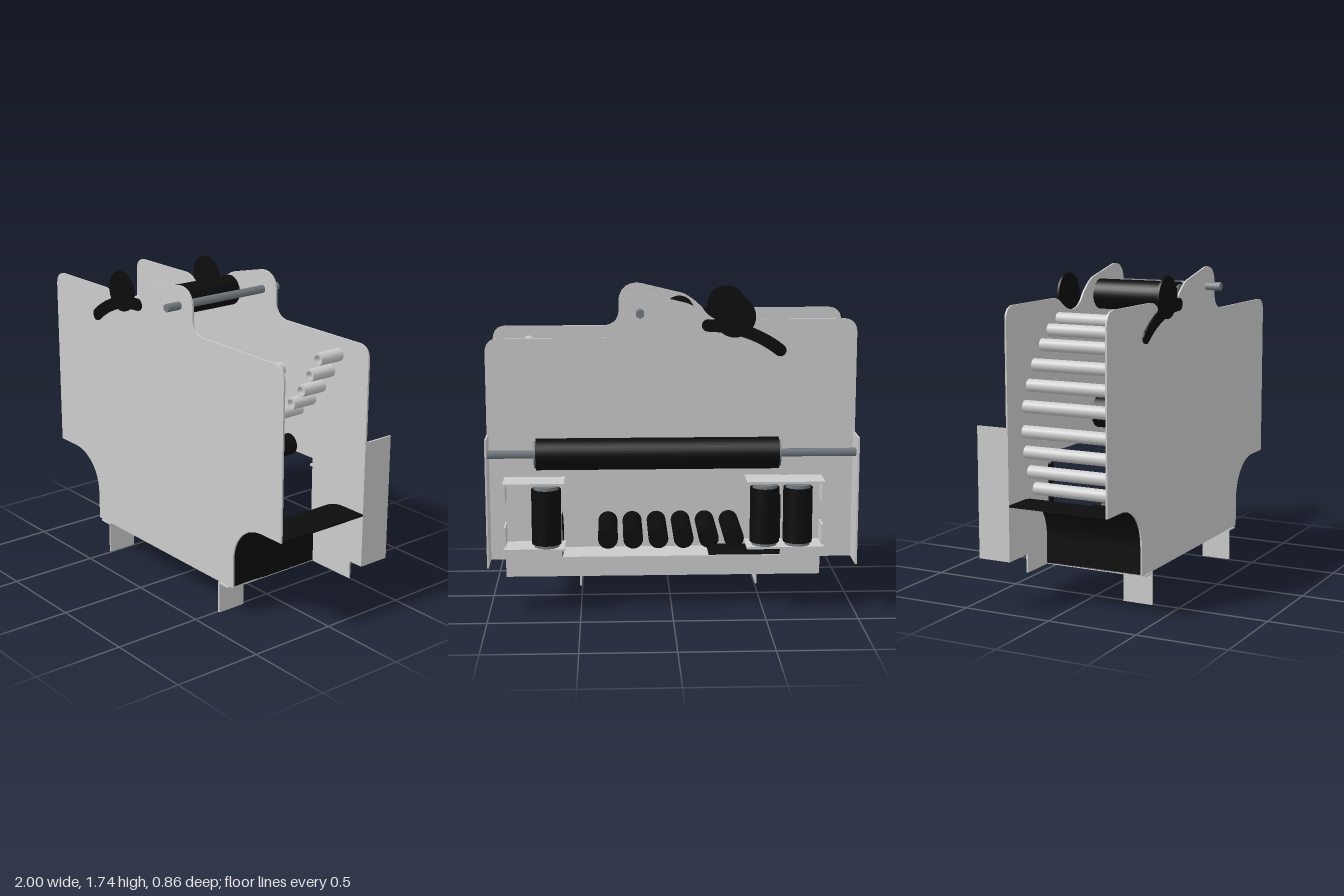
import * as THREE from 'three';

const GREY = 0xcccccc, BLACK = 0x0c0c0c, STEEL = 0x727a80;
const material = (color) => new THREE.MeshStandardMaterial({ color, side: THREE.DoubleSide });
const mats = { [GREY]: material(GREY), [BLACK]: material(BLACK), [STEEL]: material(STEEL) };

export function createModel() {
  const model = new THREE.Group();

  const add = (name, geometry, color = GREY, x = 0, y = 0, z = 0) => {
    const mesh = new THREE.Mesh(geometry, mats[color]);
    mesh.name = name;
    mesh.position.set(x, y, z);
    model.add(mesh);
    return mesh;
  };

  // Box given by its minimum and maximum corners
  const box = (name, a, b, color) => add(name,
    new THREE.BoxGeometry(b[0] - a[0], b[1] - a[1], b[2] - a[2]), color,
    (a[0] + b[0]) / 2, (a[1] + b[1]) / 2, (a[2] + b[2]) / 2);

  // Flat sheet extruded from z0 to z1
  const sheet = (name, shape, z0, z1, color) => add(name,
    new THREE.ExtrudeGeometry(shape, { depth: z1 - z0, bevelEnabled: false, curveSegments: 12 }), color, 0, 0, z0);

  // Solid bar along z or x
  const bar = (name, x, y, z, r, length, axis, color, sides = 24) => {
    const geometry = new THREE.CylinderGeometry(r, r, length, sides);
    if (axis === 'z') geometry.rotateX(Math.PI / 2);
    if (axis === 'x') geometry.rotateZ(Math.PI / 2);
    return add(name, geometry, color, x, y, z);
  };

  // Hollow tube along z
  const tube = (name, x, y, z0, z1, r = 0.034) => {
    const h = (z1 - z0) / 2, q = r * 0.65;
    const ring = [[q, -h], [r, -h], [r, -h], [r, h], [r, h], [q, h], [q, h], [q, -h]];
    const geometry = new THREE.LatheGeometry(ring.map(p => new THREE.Vector2(...p)), 18);
    geometry.rotateX(Math.PI / 2);
    add(name, geometry, GREY, x, y, (z0 + z1) / 2);
  };

  // Upper edge shared by both side plates, drawn from right to left
  const topEdge = (s) => {
    s.lineTo(1, 1.42);
    s.quadraticCurveTo(1, 1.5, 0.92, 1.5);
    s.lineTo(0.36, 1.5);
    s.quadraticCurveTo(0.28, 1.51, 0.28, 1.59);
    s.lineTo(0.28, 1.65);
    s.bezierCurveTo(0.27, 1.72, 0.22, 1.75, 0.15, 1.74);
    s.lineTo(-0.08, 1.685);
    s.quadraticCurveTo(-0.13, 1.67, -0.2, 1.6);
    s.bezierCurveTo(-0.26, 1.5, -0.36, 1.51, -0.44, 1.57);
    s.quadraticCurveTo(-0.48, 1.6, -0.52, 1.6);
    s.lineTo(-0.92, 1.6);
    s.quadraticCurveTo(-1, 1.6, -1, 1.52);
  };

  // Front plate with rounded cut-outs at its lower corners
  const front = new THREE.Shape();
  front.moveTo(-0.62, 0.18);
  front.lineTo(0.62, 0.18);
  front.lineTo(0.62, 0.34);
  front.bezierCurveTo(0.62, 0.48, 0.73, 0.57, 0.85, 0.57);
  front.lineTo(1, 0.57);
  topEdge(front);
  front.lineTo(-1, 0.57);
  front.lineTo(-0.85, 0.57);
  front.bezierCurveTo(-0.73, 0.57, -0.62, 0.48, -0.62, 0.34);
  sheet('frontPlate', front, 0.333, 0.343);

  // Back plate with a wide service window
  const back = new THREE.Shape();
  back.moveTo(-0.82, 0.18);
  back.lineTo(0.91, 0.18);
  back.lineTo(0.91, 0.28);
  back.lineTo(1, 0.28);
  topEdge(back);
  back.lineTo(-1, 0.28);
  back.lineTo(-0.82, 0.28);
  const hole = new THREE.Path();
  hole.moveTo(-0.6, 0.29);
  hole.lineTo(-0.6, 0.78);
  hole.lineTo(0.6, 0.78);
  hole.lineTo(0.6, 0.29);
  hole.closePath();
  back.holes.push(hole);
  sheet('backPlate', back, -0.237, -0.227);

  // Floor and the dark curved corner liners
  box('floor', [-0.62, 0.18, -0.237], [0.62, 0.19, 0.343]);
  for (const s of [-1, 1]) {
    const liner = new THREE.Shape();
    liner.moveTo(s * 0.62, 0.185);
    liner.lineTo(s * 0.62, 0.34);
    liner.bezierCurveTo(s * 0.62, 0.48, s * 0.73, 0.57, s * 0.85, 0.57);
    liner.lineTo(s, 0.57);
    liner.lineTo(s, 0.58);
    liner.lineTo(s * 0.85, 0.58);
    liner.bezierCurveTo(s * 0.72, 0.58, s * 0.61, 0.49, s * 0.61, 0.34);
    liner.lineTo(s * 0.61, 0.185);
    sheet('cornerLiner', liner, -0.227, 0.333, BLACK);

    // Angled feet
    box('foot', [s * 0.51 - 0.005, 0, 0.18], [s * 0.51 + 0.005, 0.18, 0.35]);
    box('footFlange', [s * 0.55 - 0.04, 0.17, 0.18], [s * 0.55 + 0.04, 0.18, 0.35]);

    // End flanges folded back from the rear plate
    box('endFlange', [s * 0.995 - 0.005, 0.28, -0.41], [s * 0.995 + 0.005, 0.98, -0.227]);
  }
  box('floorLiner', [-0.62, 0.19, -0.227], [-0.23, 0.2, 0.333], BLACK);

  // Rear shelves that hold the upright rollers
  for (const [x0, x1] of [[-0.82, -0.4], [0.58, 0.91]]) {
    for (const y of [0.37, 0.73]) box('rollerShelf', [x0, y, -0.412], [x1, y + 0.012, -0.227]);
    const edge = x0 < 0 ? x0 : x1 - 0.01;
    for (const y of [0.38, 0.62]) box('shelfTab', [edge, y, -0.36], [edge + 0.01, y + 0.11, -0.237]);
  }
  for (const x of [-0.68, -0.5, 0.68]) {
    bar('uprightRoller', x, 0.55, -0.345, 0.08, 0.3, 'y', BLACK);
    bar('uprightRollerCore', x, 0.55, -0.345, 0.068, 0.335, 'y', STEEL);
  }

  // Long rear roller on a hexagonal axle
  bar('rearRoller', 0.08, 0.89, -0.345, 0.085, 1.3, 'x', BLACK, 32);
  bar('rearRollerCore', 0.08, 0.89, -0.345, 0.072, 1.32, 'x', STEEL);
  bar('rearAxle', 0, 0.89, -0.345, 0.023, 1.98, 'x', STEEL, 6);

  // Top drum and hexagonal cross rod
  bar('topDrum', -0.065, 1.59, 0.047, 0.083, 0.48, 'z', BLACK, 32);
  bar('topDrumCore', -0.065, 1.59, 0.047, 0.07, 0.5, 'z', STEEL);
  bar('crossRod', 0.17, 1.635, 0.05, 0.023, 0.76, 'z', STEEL, 6);

  // Full-width guide tubes curving down the right-hand end
  const longTubes = [[-0.485, 1.49], [-0.58, 1.44], [-0.66, 1.37], [-0.74, 1.275], [-0.795, 1.175],
    [-0.835, 1.07], [-0.845, 0.94], [-0.83, 0.83], [-0.795, 0.72], [-0.74, 0.62]];
  for (const [x, y] of longTubes) tube('guideTube', x, y, -0.22, 0.323);

  // Paired short tubes rising toward the left-hand end
  const shortTubes = [[0.28, 0.97], [0.39, 0.99], [0.495, 1.04], [0.59, 1.12], [0.665, 1.21], [0.73, 1.31], [0.79, 1.41]];
  for (const [x, y] of shortTubes) {
    tube('shortTube', x, y, 0.175, 0.323);
    tube('shortTube', x, y, -0.22, -0.07);
  }

  // Dark conveyor rollers: a middle row and a lower row
  for (let i = 0; i < 4; i++) bar('middleRoller', 0.12 + i * 0.125, 0.85, 0.05, 0.058, 0.41, 'z', BLACK);
  bar('feedRoller', -0.11, 0.94, 0.03, 0.09, 0.42, 'z', BLACK);
  for (let i = 0; i < 6; i++) bar('lowerRoller', -0.35 + i * 0.14, 0.37, 0.04, 0.055, 0.42, 'z', BLACK);

  // Curved handles with round knobs on the outside of both plates
  const path = new THREE.QuadraticBezierCurve(new THREE.Vector2(-0.585, 1.43),
    new THREE.Vector2(-0.42, 1.56), new THREE.Vector2(-0.195, 1.565));
  const outline = [];
  const N = 12, R = 0.033;
  const around = (p, angle) => outline.push(new THREE.Vector2(p.x + R * Math.cos(angle), p.y + R * Math.sin(angle)));
  const heading = (t) => path.getTangent(t).angle();
  for (let i = 0; i <= N; i++) around(path.getPoint(i / N), heading(i / N) - Math.PI / 2);
  for (let i = 1; i < 8; i++) around(path.getPoint(1), heading(1) - Math.PI / 2 + i * Math.PI / 8);
  for (let i = N; i >= 0; i--) around(path.getPoint(i / N), heading(i / N) + Math.PI / 2);
  for (let i = 1; i < 8; i++) around(path.getPoint(0), heading(0) + Math.PI / 2 + i * Math.PI / 8);
  for (const z of [0.343, -0.247]) {
    sheet('handle', new THREE.Shape(outline), z, z + 0.01, BLACK);
    bar('handleKnob', -0.34, 1.612, z + 0.005, 0.112, 0.012, 'z', BLACK, 36);
  }

  return model;
}
